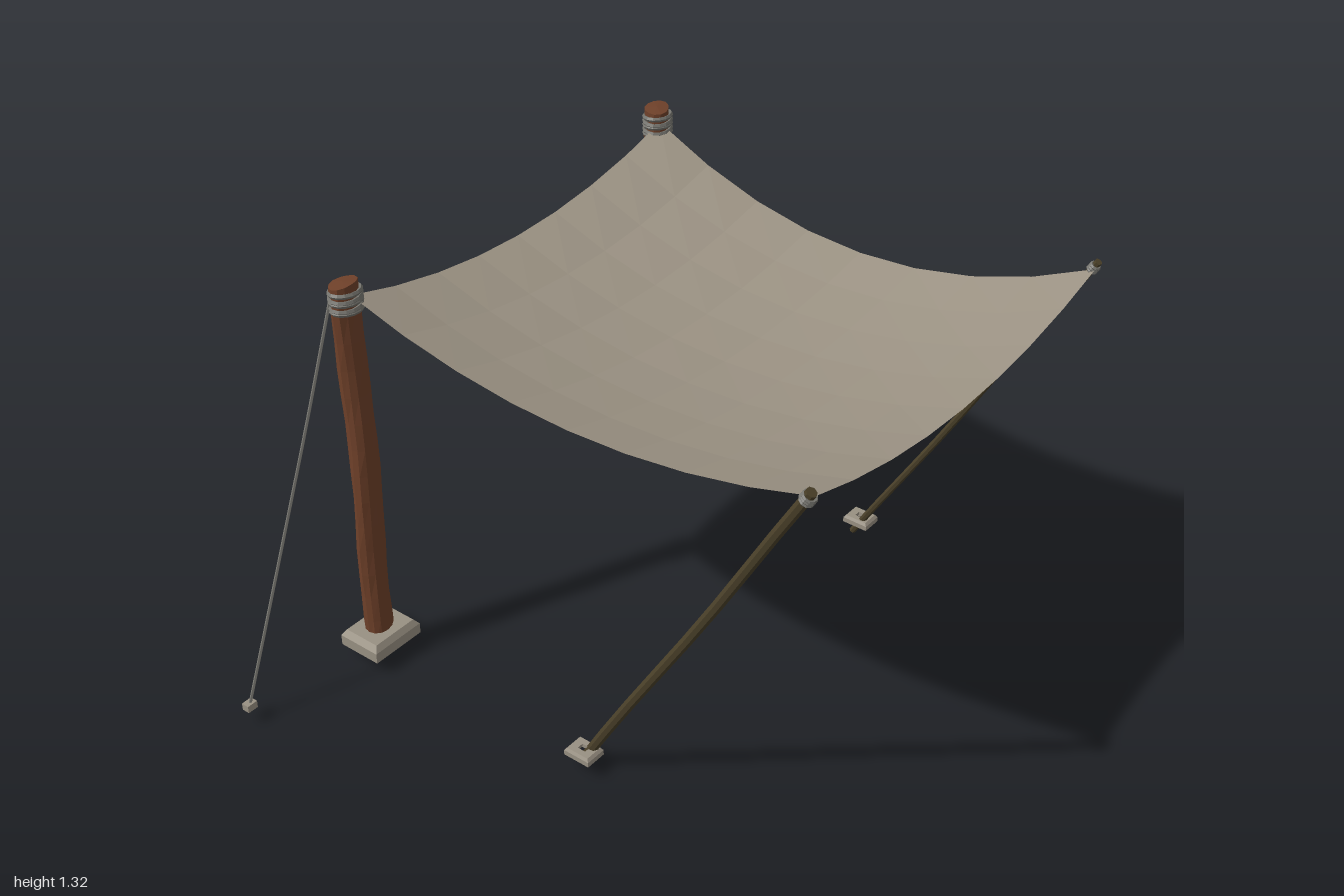
import * as THREE from 'three';

const material = (name, color, extra = {}) => {
  const m = new THREE.MeshStandardMaterial({ color, flatShading: true, ...extra });
  m.name = name;
  return m;
};

export function createModel() {
  const wood = material('brown log', 0x6e4029);
  const pole = material('dark olive wood', 0x4a4029);
  const stone = material('pale stone', 0x989082);
  const cloth = material('linen cloth', 0x9c9384, { side: THREE.DoubleSide });
  const rope = material('grey rope', 0x73726c);

  const model = new THREE.Group();
  model.name = 'shadeSail';
  const add = (name, geometry, mat, parent = model) => {
    const mesh = new THREE.Mesh(geometry, mat);
    mesh.name = name;
    parent.add(mesh);
    return mesh;
  };

  // Bevelled rectangular footing: closed loop of square sections, open in the middle
  const footing = (name, x, y, z, w, h, d, hole) => {
    const bevel = h * 0.35;
    const rings = [
      [hole, h * 0.6], [hole, 0], [1, 0], [1, h - bevel],
      [1 - 0.16, h], [hole * 0.5, h], [hole * 0.5, h * 0.6], [hole, h * 0.6],
    ];
    const pos = [], index = [];
    rings.forEach(([s, ry]) => {
      for (const [cx, cz] of [[-1, 1], [1, 1], [1, -1], [-1, -1]]) {
        pos.push(cx * s * w / 2, ry, cz * s * d / 2);
      }
    });
    for (let r = 0; r < rings.length - 1; r++) {
      for (let i = 0; i < 4; i++) {
        const a = r * 4 + i, b = r * 4 + (i + 1) % 4;
        index.push(a, b, b + 4, a, b + 4, a + 4);
      }
    }
    const g = new THREE.BufferGeometry();
    g.setAttribute('position', new THREE.Float32BufferAttribute(pos, 3));
    g.setIndex(index);
    g.computeVertexNormals();
    add(name, g, stone).position.set(x, y, z);
  };

  // Rough log posts with footings and rope lashings at the back
  const logPost = (side, x, z, rx, rz, seed) => {
    const bottom = 0.06, top = 1.32, h = top - bottom;
    const g = new THREE.CylinderGeometry(1, 1, h, 12, 14);
    const p = g.attributes.position;
    for (let i = 0; i < p.count; i++) {
      const y = p.getY(i), a = Math.atan2(p.getZ(i), p.getX(i));
      const bump = 1 + 0.04 * Math.sin(3 * a + y * 9 + seed) + 0.03 * Math.sin(2 * a - y * 21 + seed * 2);
      const end = y > h / 2 - 0.001 ? 0.94 : 1;
      const tilt = y > h / 2 - 0.001 ? 0.006 * Math.sin(a + seed) - 0.004 : 0;
      p.setXYZ(i,
        p.getX(i) * rx * bump * end + 0.004 * Math.sin(y * 6 + seed),
        y + tilt,
        p.getZ(i) * rz * bump * end + 0.003 * Math.sin(y * 5 + seed * 3));
    }
    g.computeVertexNormals();
    add(side + 'BackPost', g, wood).position.set(x, (bottom + top) / 2, z);

    const lashing = new THREE.Group();
    lashing.name = side + 'PostLashing';
    for (let i = 0; i < 5; i++) {
      const ring = add('ropeTurn', new THREE.TorusGeometry(1, 0.16, 5, 14), rope, lashing);
      ring.scale.set(rx * 1.02, rz * 1.04, 0.05);
      ring.rotation.set(Math.PI / 2 + (i % 2 ? 0.1 : -0.06), i % 2 ? 0.06 : -0.06, 0);
      ring.position.y = 1.235 + i * 0.014;
    }
    lashing.position.set(x, 0, z);
    model.add(lashing);
  };
  logPost('right', -0.51, -0.743, 0.047, 0.038, 0.6);
  logPost('left', 0.88, -0.75, 0.046, 0.038, 2.4);
  footing('rightBackFooting', -0.51, 0.05, -0.745, 0.19, 0.055, 0.15, 0.6);
  footing('leftBackFooting', 0.897, 0.05, -0.755, 0.195, 0.055, 0.15, 0.6);

  // Leaning front poles, slightly crooked, tied to the cloth at the tip
  const frontPole = (side, x, radius, seed) => {
    const from = new THREE.Vector3(x, 0.012, 0.068);
    const to = new THREE.Vector3(x - Math.sign(x) * 0.003, 1.297, 0.813);
    const length = from.distanceTo(to);
    const g = new THREE.CylinderGeometry(radius, radius, length, 7, 8);
    const p = g.attributes.position;
    for (let i = 0; i < p.count; i++) {
      const y = p.getY(i);
      p.setX(i, p.getX(i) + 0.004 * Math.sin(y * 7 + seed));
      p.setZ(i, p.getZ(i) + 0.003 * Math.sin(y * 5 + seed));
    }
    g.computeVertexNormals();
    const group = new THREE.Group();
    group.name = side + 'FrontPole';
    add('poleShaft', g, pole, group);
    for (let i = 0; i < 3; i++) {
      const ring = add('poleTie', new THREE.TorusGeometry(radius * 1.1, 0.005, 5, 10), rope, group);
      ring.rotation.x = Math.PI / 2;
      ring.position.y = length / 2 - 0.015 - i * 0.009;
    }
    group.position.copy(from).add(to).multiplyScalar(0.5);
    group.quaternion.setFromUnitVectors(new THREE.Vector3(0, 1, 0), to.clone().sub(from).normalize());
    model.add(group);
  };
  frontPole('right', -0.508, 0.016, 1);
  frontPole('left', 0.893, 0.0115, 2.2);
  footing('rightFrontFooting', -0.525, 0.052, 0.085, 0.07, 0.026, 0.09, 0.6);
  footing('leftFrontFooting', 0.905, 0.052, 0.085, 0.07, 0.026, 0.09, 0.6);

  // Sagging cloth hung from four corners, deeper along the left edge
  const n = 8;
  const sail = new THREE.PlaneGeometry(1, 1, n, n);
  const sp = sail.attributes.position;
  for (let i = 0; i < sp.count; i++) {
    const u = sp.getX(i) + 0.5, v = 0.5 - sp.getY(i);
    const arcU = 4 * u * (1 - u), arcV = 4 * v * (1 - v);
    const sag = (0.13 + 0.08 * u) * arcV + 0.11 * arcU * (1 - 0.18 * arcV);
    sp.setXYZ(i, -0.49 + 1.375 * u, 1.265 + 0.012 * v - sag, -0.745 + 1.555 * v);
  }
  sail.computeVertexNormals();
  add('clothCanopy', sail, cloth);

  // Guy rope and its ground peg
  const guy = new THREE.CatmullRomCurve3([
    new THREE.Vector3(-0.55, 1.265, -0.765),
    new THREE.Vector3(-0.66, 0.95, -0.778),
    new THREE.Vector3(-0.77, 0.64, -0.795),
    new THREE.Vector3(-0.982, 0.062, -0.823),
  ]);
  add('guyRope', new THREE.TubeGeometry(guy, 12, 0.005, 5), rope);
  add('guyPeg', new THREE.BoxGeometry(0.036, 0.024, 0.026), stone).position.set(-0.981, 0.061, -0.824);

  return model;
}
